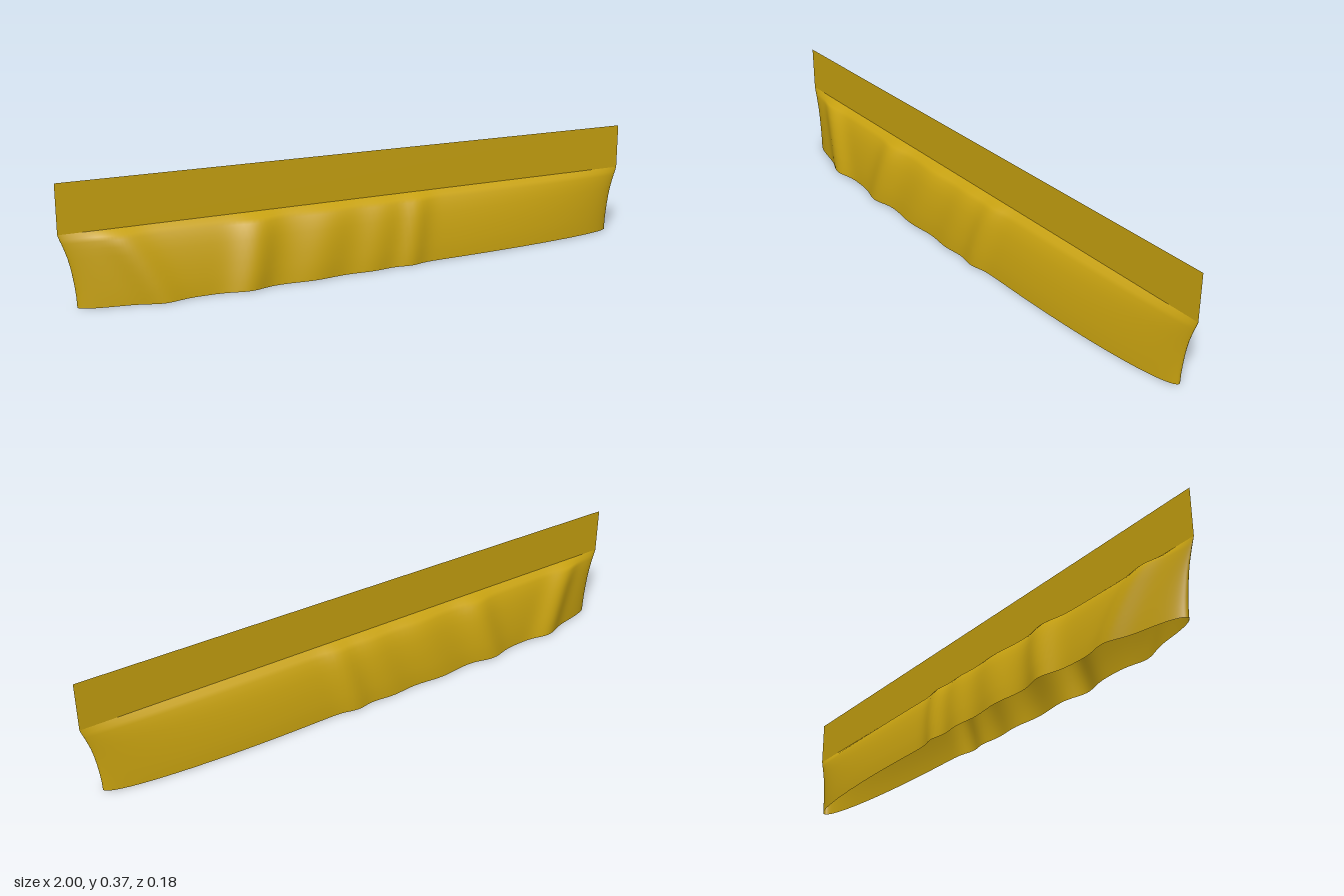
import * as THREE from 'three';

// height, end reach (x), width factor, fold strength
const ROWS = [
  [0, 0.955, 1, 1], [0.03, 0.956, 0.97, 1], [0.06, 0.959, 0.91, 1], [0.09, 0.963, 0.84, 1],
  [0.12, 0.968, 0.75, 1], [0.15, 0.975, 0.64, 1], [0.175, 0.983, 0.52, 0.98],
  [0.195, 0.99, 0.39, 0.92], [0.207, 0.995, 0.28, 0.8], [0.222, 1, 0, 0],
];
// fold centre (x), depth, width, lean towards the top
const FOLDS = [
  [-0.72, 0.026, 0.06, -0.4], [-0.45, 0.021, 0.06, 0.3], [-0.23, 0.014, 0.09, 0.4],
  [-0.03, 0.012, 0.07, 0.3], [0.11, 0.014, 0.045, 0.2],
];

// Half width of the smooth hull: an ellipse with a straight middle
function hull(x) {
  const d = x > 0.3 ? (x - 0.3) / 0.655 : x < -0.45 ? (-0.45 - x) / 0.505 : 0;
  return Math.sqrt(Math.max(0, 1 - d * d));
}

function drapeGeometry(segments = 320) {
  const positions = [], index = [];
  ROWS.forEach(([y, reach, width, strength], r) => {
    for (let i = 0; i < segments; i++) {
      const t = (i / segments) * Math.PI * 2;
      const u = Math.cos(t), x = u * 0.955;
      const h = hull(x);
      let fold = 0;
      for (const [c, depth, w, lean] of FOLDS) {
        fold += depth * Math.exp(-(((x - c - lean * y) / w) ** 2));
      }
      const z = h * (0.069 * width + fold * strength);
      positions.push(u * reach, y, Math.sign(Math.sin(t)) * z);
      if (r < ROWS.length - 1) {
        const a = r * segments + i, b = r * segments + ((i + 1) % segments);
        index.push(a, a + segments, b, b, a + segments, b + segments);
      }
    }
  });
  const geometry = new THREE.BufferGeometry();
  geometry.setAttribute('position', new THREE.Float32BufferAttribute(positions, 3));
  geometry.setIndex(index);
  geometry.computeVertexNormals();
  return geometry;
}

export function createModel() {
  const group = new THREE.Group();
  group.name = 'drapedValance';
  const gold = new THREE.MeshStandardMaterial({ color: 0xc8a210, side: THREE.DoubleSide });
  gold.name = 'gold';

  // Folded cloth skirt, open underneath
  const skirt = new THREE.Mesh(drapeGeometry(), gold);
  skirt.name = 'foldedSkirt';
  group.add(skirt);

  // Thin flat sheet rising from the ridge
  const sheet = new THREE.Mesh(new THREE.PlaneGeometry(2, 0.15), gold);
  sheet.name = 'upperSheet';
  sheet.position.y = 0.297;
  group.add(sheet);
  return group;
}
